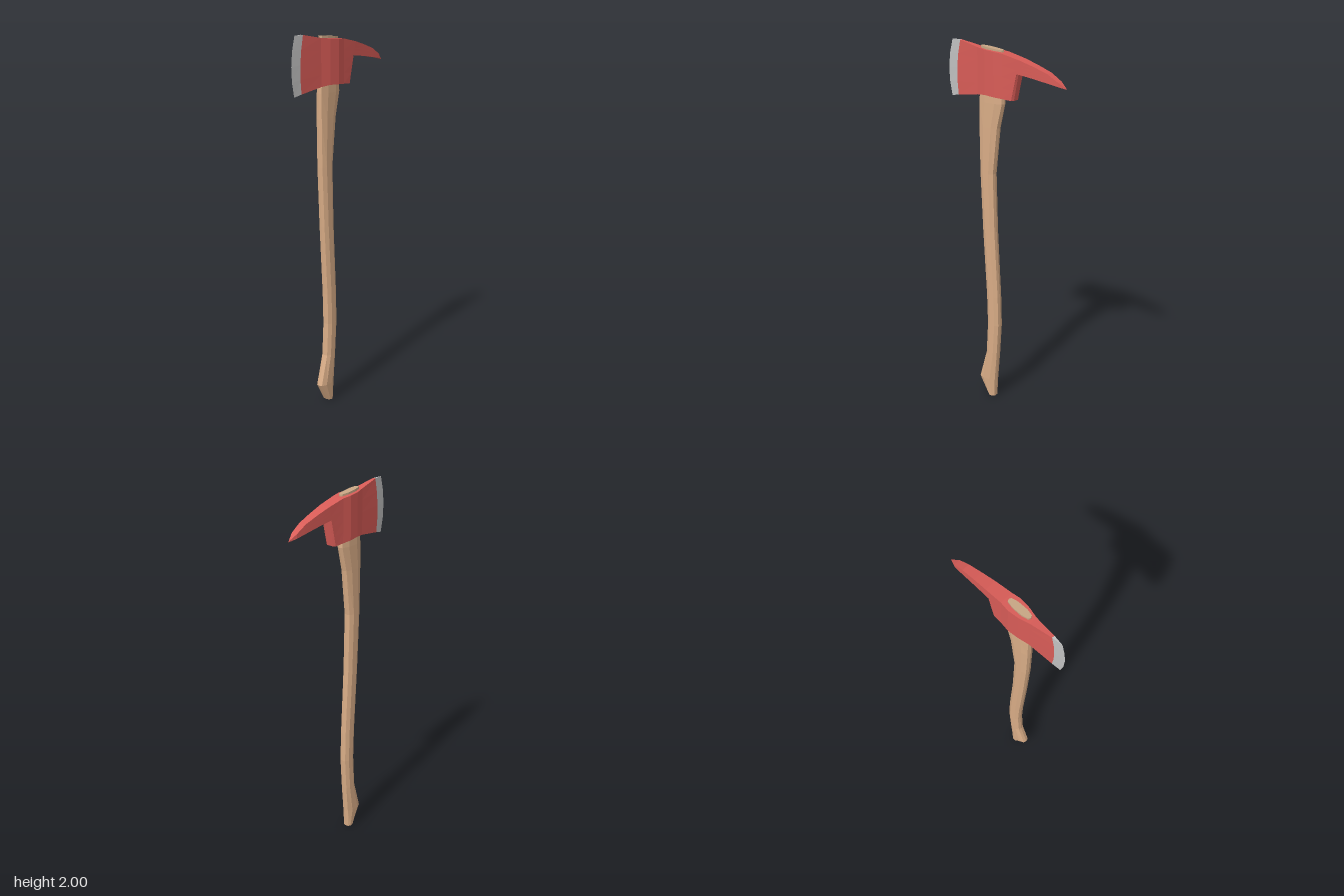
import * as THREE from 'three';

// Skin a list of closed rings, with optional end caps
function loft(rings, capStart = true, capEnd = true) {
  const pos = [];
  const tri = (a, b, c) => pos.push(...a, ...b, ...c);
  const n = rings[0].length;
  for (let i = 0; i < rings.length - 1; i++) {
    for (let j = 0; j < n; j++) {
      const k = (j + 1) % n;
      const a = rings[i][j], b = rings[i][k], c = rings[i + 1][j], d = rings[i + 1][k];
      tri(a, b, c);
      tri(b, d, c);
    }
  }
  const cap = (ring, flip) => {
    const mid = [0, 1, 2].map((m) => ring.reduce((s, p) => s + p[m], 0) / n);
    for (let j = 0; j < n; j++) {
      const a = ring[j], b = ring[(j + 1) % n];
      if (flip) tri(mid, b, a); else tri(mid, a, b);
    }
  };
  if (capStart) cap(rings[0], true);
  if (capEnd) cap(rings[rings.length - 1], false);
  const g = new THREE.BufferGeometry();
  g.setAttribute('position', new THREE.Float32BufferAttribute(pos, 3));
  g.computeVertexNormals();
  return g;
}

// Upright slice of the head: top z,y, bottom z,y, half width, forward bulge
function headRing([zt, yt, zb, yb, half, bulge = 0]) {
  const rows = 4, side = [];
  for (let i = 0; i <= rows; i++) {
    const t = i / rows;
    side.push([half, yt + (yb - yt) * t, zt + (zb - zt) * t + bulge * 4 * t * (1 - t)]);
  }
  return [...side, ...side.slice().reverse().map(([x, y, z]) => [-x, y, z])];
}

// Ten-sided oval slice of the handle: front y, front z, back z, half width, back y
const OVAL = [[0, 1], [0.6, 0.92], [1, 0.4], [1, -0.4], [0.6, -0.92],
  [0, -1], [-0.6, -0.92], [-1, -0.4], [-1, 0.4], [-0.6, 0.92]];
function handleRing([y, zf, zb, half, yb = y]) {
  return OVAL.map(([u, v]) => [u * half, (y + yb) / 2 + v * (y - yb) / 2, (zf + zb) / 2 + v * (zf - zb) / 2]);
}

export function createModel() {
  const group = new THREE.Group();
  const mat = (name, color) => {
    const m = new THREE.MeshStandardMaterial({ color, flatShading: true });
    m.name = name;
    return m;
  };
  const red = mat('red paint', 0xd85c57);
  const steel = mat('bare steel', 0xc0c0c0);
  const wood = mat('wood', 0xd8ac86);
  const endGrain = mat('end grain', 0xc8a684);
  const add = (name, geometry, material) => {
    const mesh = new THREE.Mesh(geometry, material);
    mesh.name = name;
    group.add(mesh);
  };

  // Curved handle with a swept foot, running up into the head
  add('handle', loft([
    [0.005, 0.115, 0.07, 0.024, 0],
    [0.105, 0.172, 0.063, 0.028],
    [0.27, 0.125, 0.05, 0.028],
    [0.45, 0.115, 0.038, 0.028],
    [0.62, 0.12, 0.042, 0.028],
    [1.0, 0.143, 0.062, 0.028],
    [1.32, 0.158, 0.07, 0.028],
    [1.57, 0.163, 0.042, 0.028],
    [1.70, 0.163, 0.01, 0.027],
    [1.76, 0.16, 0.013, 0.025],
  ].map(handleRing)), wood);

  // End of the handle showing through the eye
  add('handleTop', loft([
    [1.93, 0.152, 0.012, 0.02],
    [1.987, 0.152, 0.015, 0.019, 1.973],
  ].map(handleRing)), endGrain);

  // Sharpened steel edge
  const bevel = [0.285, 2.0, 0.3, 1.713, 0.007, 0.014];
  add('cuttingEdge', loft([[0.34, 2.0, 0.347, 1.703, 0, 0.022], bevel].map(headRing), false, false), steel);

  // Blade and eye, widest around the handle
  add('headBody', loft([
    bevel,
    [0.165, 1.977, 0.165, 1.735, 0.021],
    [0.11, 1.971, 0.11, 1.741, 0.035],
    [0.05, 1.967, 0.05, 1.738, 0.041],
    [0, 1.962, 0, 1.734, 0.034],
    [-0.1, 1.94, -0.052, 1.73, 0.03],
  ].map(headRing)), red);

  // Chamfered back of the head below the pick
  add('headBack', loft([
    [-0.084, 1.875, -0.052, 1.73, 0.03],
    [-0.09, 1.875, -0.061, 1.73, 0.018],
  ].map(headRing)), red);

  // Drooping pick
  add('pick', loft([
    [-0.1, 1.94, -0.084, 1.87, 0.03],
    [-0.18, 1.917, -0.18, 1.857, 0.025],
    [-0.26, 1.89, -0.27, 1.842, 0.0205],
    [-0.32, 1.855, -0.32, 1.833, 0.0165],
    [-0.36, 1.826, -0.36, 1.822, 0],
  ].map(headRing), false), red);

  return group;
}
